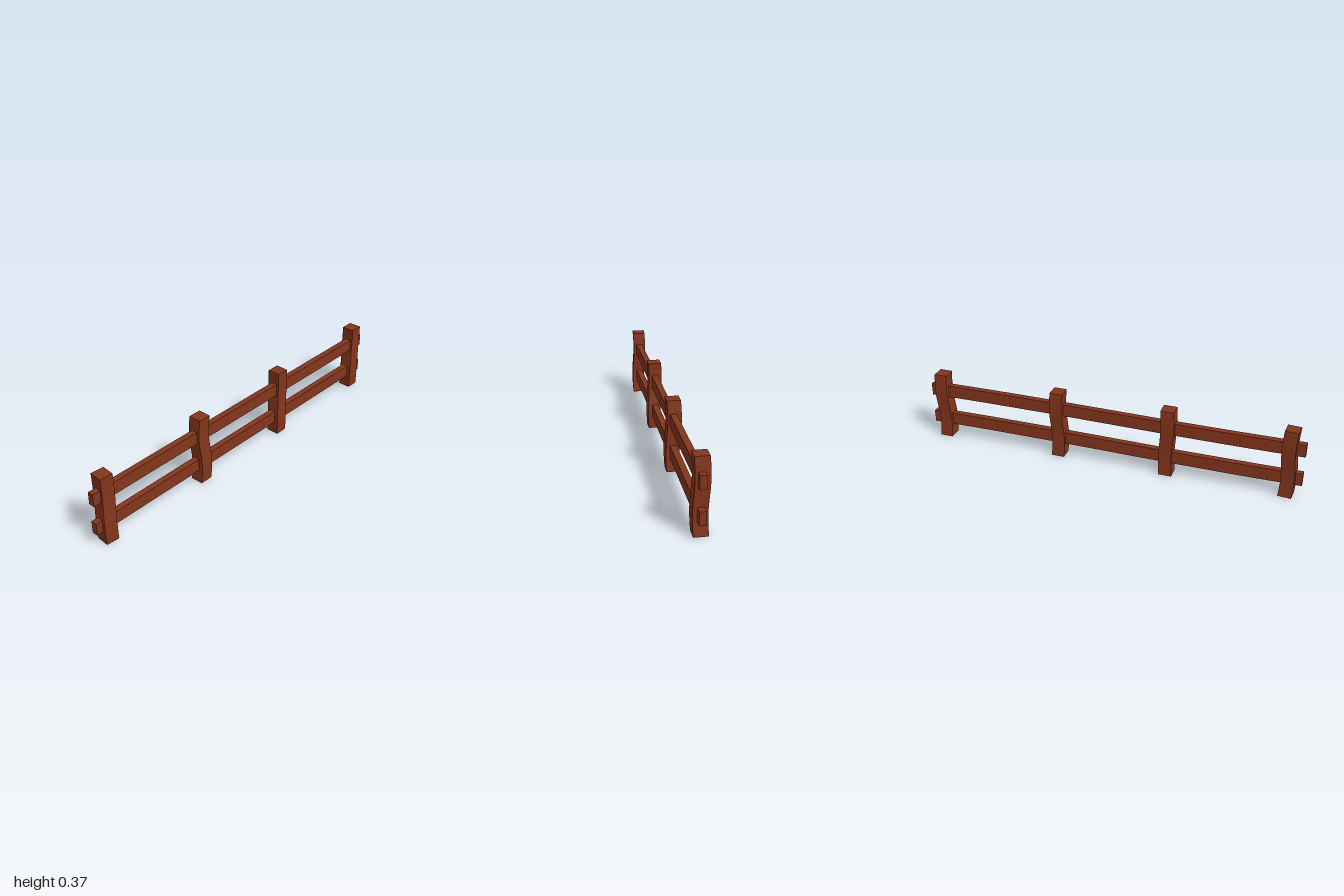
import * as THREE from 'three';

const HEIGHT = 0.37;
const wood = new THREE.MeshStandardMaterial({ color: 0x84351c, flatShading: true });

// Square post with a gentle S-bend: upper part leans along (dx, dz), lower part the opposite way
function makePost(z, dx, dz, yaw) {
  const g = new THREE.BoxGeometry(0.068, HEIGHT, 0.068, 1, 10, 1);
  g.rotateY(yaw);
  const p = g.attributes.position;
  for (let i = 0; i < p.count; i++) {
    const s = Math.sin((p.getY(i) / HEIGHT) * Math.PI * 2);
    p.setX(i, p.getX(i) + dx * s);
    p.setZ(i, p.getZ(i) + dz * s);
  }
  g.computeVertexNormals();
  const post = new THREE.Mesh(g, wood);
  post.position.set(0, HEIGHT / 2, z);
  return post;
}

// Long rail with a barely uneven hand-cut line
function makeRail(y, lift) {
  const g = new THREE.BoxGeometry(0.032, 0.066, 2, 1, 1, 6);
  const p = g.attributes.position;
  for (let i = 0; i < p.count; i++) {
    const s = Math.sin(p.getZ(i) * Math.PI);
    p.setX(i, p.getX(i) - 0.002 * s);
    p.setY(i, p.getY(i) + lift * s);
  }
  g.computeVertexNormals();
  const rail = new THREE.Mesh(g, wood);
  rail.position.set(0.001, y, 0);
  return rail;
}

export function createModel() {
  const fence = new THREE.Group();
  fence.name = 'fence';

  // Posts: z position, bend direction, yaw
  const posts = [
    [0.927, -0.004, -0.005, -0.08],
    [0.315, -0.004, 0.005, 0],
    [-0.272, -0.004, -0.005, 0],
    [-0.93, -0.004, -0.005, 0],
  ];
  posts.forEach((spec, i) => {
    const post = makePost(...spec);
    post.name = `post${i + 1}`;
    fence.add(post);
  });

  // Two rails running through all posts
  const lower = makeRail(0.104, -0.002);
  lower.name = 'lowerRail';
  const upper = makeRail(0.268, -0.002);
  upper.name = 'upperRail';
  fence.add(lower, upper);
  return fence;
}
